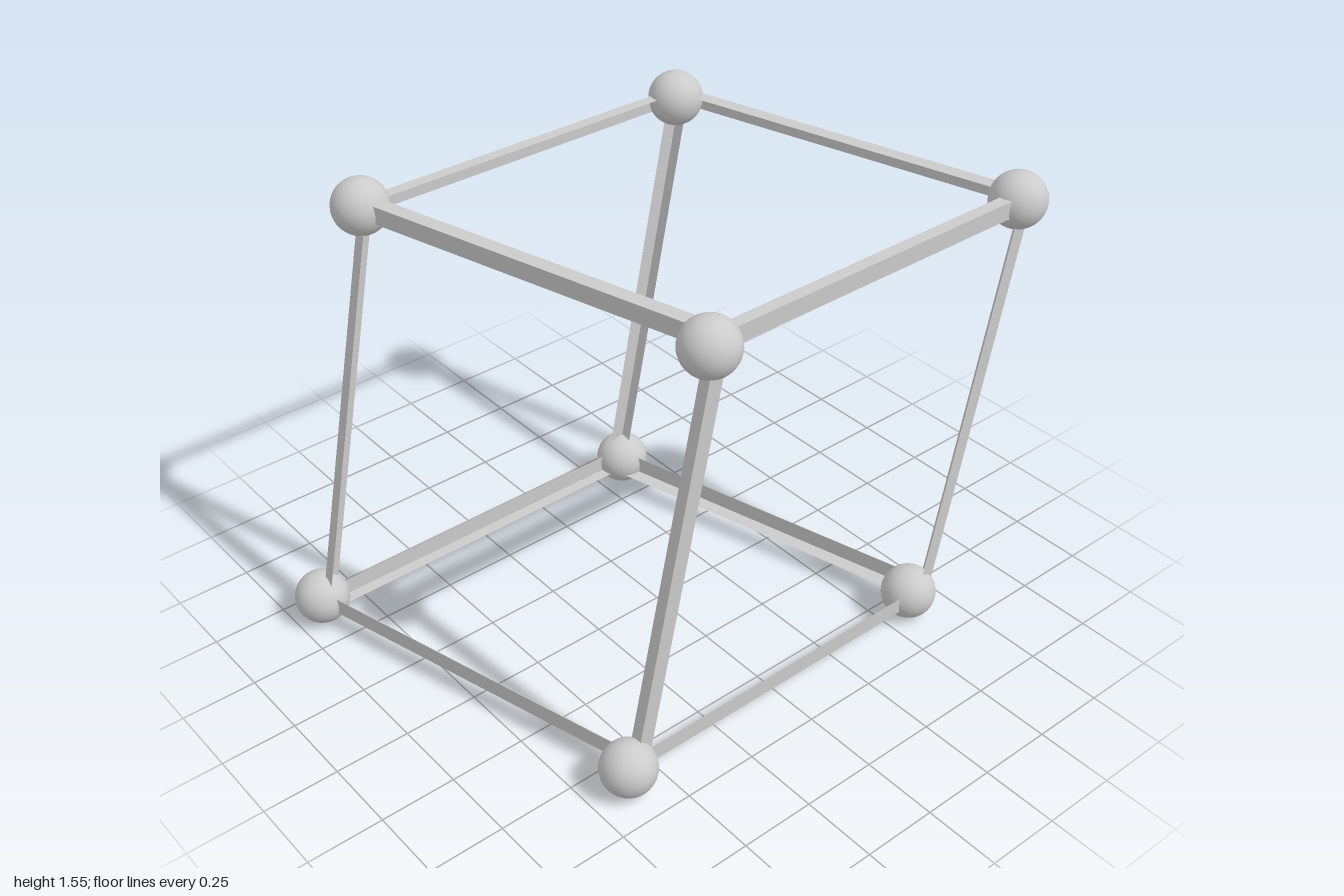
import * as THREE from 'three';

const material = new THREE.MeshStandardMaterial({ color: 0xcccccc });
const sheet = new THREE.MeshStandardMaterial({ color: 0xcccccc, side: THREE.DoubleSide });

// Half spacing between opposite bars and width of the bars on each axis
const HALF = { x: 0.598, y: 0.675, z: 0.597 };
const WIDTH = { x: 0.04, y: 0.058, z: 0.05 };
const CENTRE = new THREE.Vector3(0.003, 0.891, -0.007);

// Edge directions of the leaning cell, and the plain axes for the bar sections
const EDGE = {
  x: new THREE.Vector3(1, 0, -0.268),
  y: new THREE.Vector3(0, 1, -0.207),
  z: new THREE.Vector3(0, 0, 1),
};
const UNIT = {
  x: new THREE.Vector3(1, 0, 0),
  y: new THREE.Vector3(0, 1, 0),
  z: new THREE.Vector3(0, 0, 1),
};
const NAMES = { x: 'crossBar', y: 'uprightBar', z: 'depthBar' };

// One thin leg of an angle bar: runs along an axis, spreads over u, faces outward on v
function leg(axis, u, v, side, middle) {
  const along = EDGE[axis].clone();
  const normal = along.clone().cross(UNIT[u]);
  if (normal.dot(UNIT[v]) * side < 0) {
    along.negate();
    normal.negate();
  }
  const position = middle.clone().addScaledVector(UNIT[v], (side * WIDTH[v]) / 2);
  const geometry = new THREE.PlaneGeometry(2 * HALF[axis] + WIDTH[axis], WIDTH[u]);
  geometry.applyMatrix4(new THREE.Matrix4().makeBasis(along, UNIT[u], normal).setPosition(position));
  const mesh = new THREE.Mesh(geometry, sheet);
  mesh.name = 'barLeg';
  return mesh;
}

// L-shaped bar along one edge, with its ridge turned outward
function angleBar(axis, a, b) {
  const [u, v] = ['x', 'y', 'z'].filter((k) => k !== axis);
  const middle = CENTRE.clone()
    .addScaledVector(EDGE[u], a * HALF[u])
    .addScaledVector(EDGE[v], b * HALF[v]);
  const bar = new THREE.Group();
  bar.name = NAMES[axis];
  bar.add(leg(axis, u, v, b, middle), leg(axis, v, u, a, middle));
  return bar;
}

export function createModel() {
  const model = new THREE.Group();
  model.name = 'latticeCell';

  // Twelve edges of the cell
  const frame = new THREE.Group();
  frame.name = 'frame';
  for (const axis of ['x', 'y', 'z'])
    for (const a of [-1, 1])
      for (const b of [-1, 1]) frame.add(angleBar(axis, a, b));
  model.add(frame);

  // Balls at the eight corners, slightly off the exact corner points
  const balls = new THREE.Group();
  balls.name = 'cornerBalls';
  const ballGeometry = new THREE.SphereGeometry(0.09, 32, 24);
  const corners = [
    [0.584, 1.562, -0.911], [-0.585, 1.577, -0.564],
    [-0.632, 1.562, 0.617], [0.606, 1.56, 0.326],
    [0.584, 0.213, -0.594], [-0.608, 0.213, -0.338],
    [-0.632, 0.212, 0.909], [0.614, 0.212, 0.62],
  ];
  for (const [x, y, z] of corners) {
    const ball = new THREE.Mesh(ballGeometry, material);
    ball.name = 'cornerBall';
    ball.position.set(x, y, z);
    balls.add(ball);
  }
  model.add(balls);

  return model;
}
